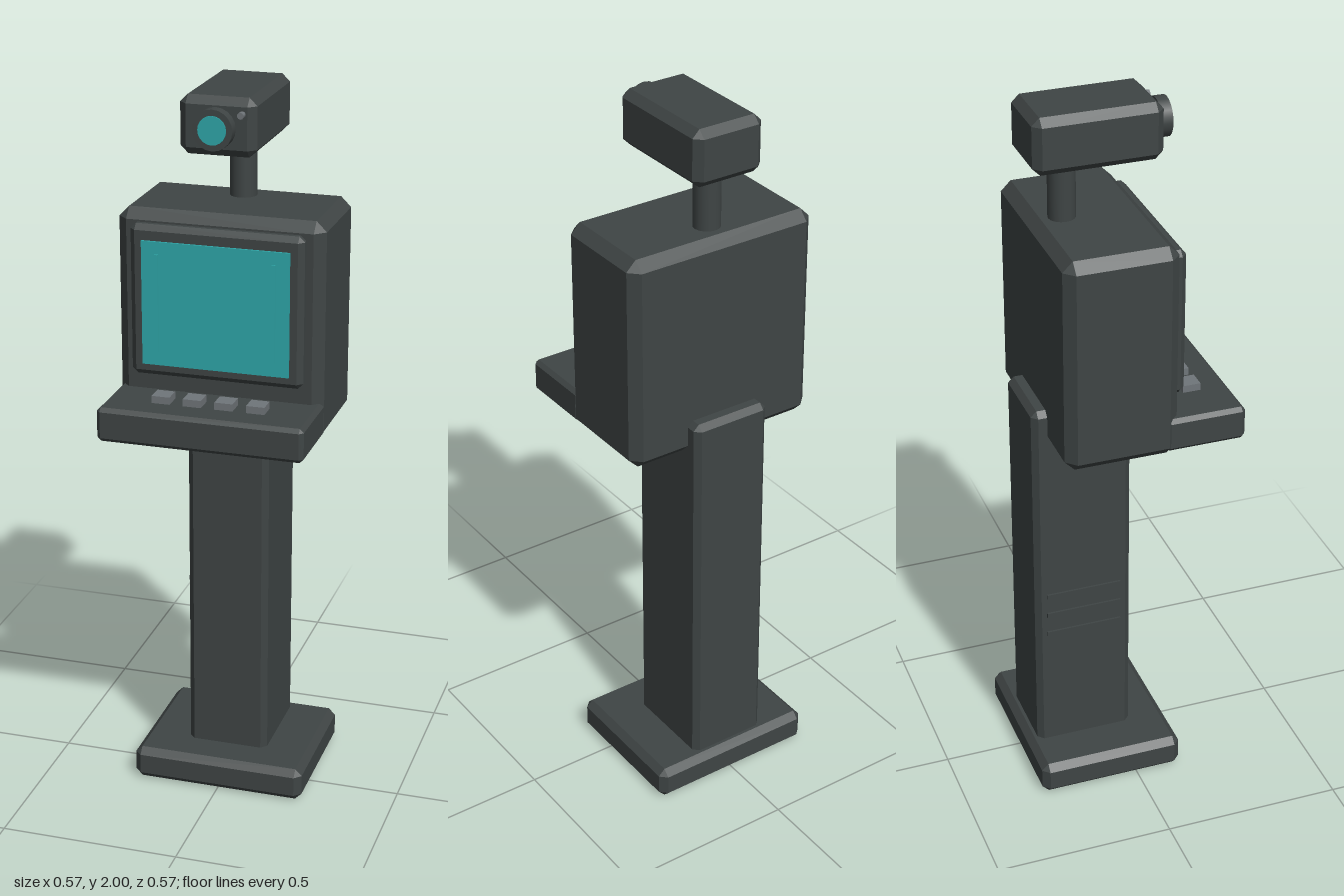
import * as THREE from 'three';
import { ConvexGeometry } from 'three/addons/geometries/ConvexGeometry.js';

const material = (name, color) => {
  const m = new THREE.MeshStandardMaterial({ color });
  m.name = name;
  return m;
};

// Box spanning the given ranges with every edge cut at 45 degrees
function chamferBox([x0, x1], [y0, y1], [z0, z1], c) {
  const h = [(x1 - x0) / 2, (y1 - y0) / 2, (z1 - z0) / 2];
  const points = [];
  for (const sx of [-1, 1]) for (const sy of [-1, 1]) for (const sz of [-1, 1])
    for (let axis = 0; axis < 3; axis++) {
      const p = h.map((v, i) => (i === axis ? v : v - c));
      points.push(new THREE.Vector3(p[0] * sx, p[1] * sy, p[2] * sz));
    }
  return new ConvexGeometry(points).translate((x0 + x1) / 2, (y0 + y1) / 2, (z0 + z1) / 2);
}

function plainBox([x0, x1], [y0, y1], [z0, z1]) {
  return new THREE.BoxGeometry(x1 - x0, y1 - y0, z1 - z0)
    .translate((x0 + x1) / 2, (y0 + y1) / 2, (z0 + z1) / 2);
}

// Cylinder along z between z0 and z1
function barrel(r, y, z0, z1) {
  return new THREE.CylinderGeometry(r, r, z1 - z0, 20)
    .rotateX(Math.PI / 2).translate(0, y, (z0 + z1) / 2);
}

export function createModel() {
  const casing = material('dark casing', 0x3f4545);
  const teal = material('teal glass', 0x2fa8aa);
  const grey = material('button grey', 0x70767a);

  const group = new THREE.Group();
  group.name = 'kiosk';
  const add = (name, geometry, mat) => {
    const mesh = new THREE.Mesh(geometry, mat);
    mesh.name = name;
    group.add(mesh);
  };

  // Stand
  add('base', chamferBox([-0.247, 0.247], [0, 0.095], [-0.284, 0.13], 0.019), casing);
  add('column', chamferBox([-0.115, 0.115], [0.05, 1.18], [-0.256, 0.022], 0.016), casing);
  for (const y of [0.465, 0.528, 0.59])
    add('ventSlat', plainBox([-0.121, -0.11], [y - 0.007, y + 0.007], [-0.225, -0.01]), casing);

  // Cabinet with its front shelf
  add('cabinet', chamferBox([-0.283, 0.283], [1.08, 1.685], [-0.215, 0.096], 0.028), casing);
  add('shelf', chamferBox([-0.283, 0.283], [1.095, 1.19], [0.06, 0.283], 0.011), casing);

  // Display
  add('screenFrame', chamferBox([-0.237, 0.237], [1.238, 1.653], [0.085, 0.127], 0.015), casing);
  add('screen', plainBox([-0.202, 0.202], [1.272, 1.612], [0.125, 0.133]), teal);
  for (const s of [-1, 1])
    add('screenStrip', plainBox([s * 0.16 - 0.005, s * 0.16 + 0.005], [1.31, 1.578], [0.132, 0.139]), teal);

  // Shelf buttons
  for (let i = 0; i < 4; i++) {
    const x = -0.129 + i * 0.087;
    add('button', plainBox([x - 0.025, x + 0.025], [1.185, 1.21], [0.153, 0.203]), grey);
  }

  // Camera on its neck
  add('cameraNeck', new THREE.CylinderGeometry(0.037, 0.037, 0.19, 16).translate(0, 1.765, -0.13), casing);
  add('cameraHead', chamferBox([-0.103, 0.103], [1.845, 2], [-0.233, 0.115], 0.021), casing);
  add('lensMount', barrel(0.042, 1.923, 0.11, 0.124), casing);
  add('lensBarrel', barrel(0.054, 1.923, 0.122, 0.153), casing);
  add('lensGlass', barrel(0.038, 1.923, 0.15, 0.156), teal);
  add('indicator', new THREE.CylinderGeometry(0.009, 0.009, 0.022, 10)
    .rotateX(Math.PI / 2).translate(0.069, 1.96, 0.122), grey);

  return group;
}
